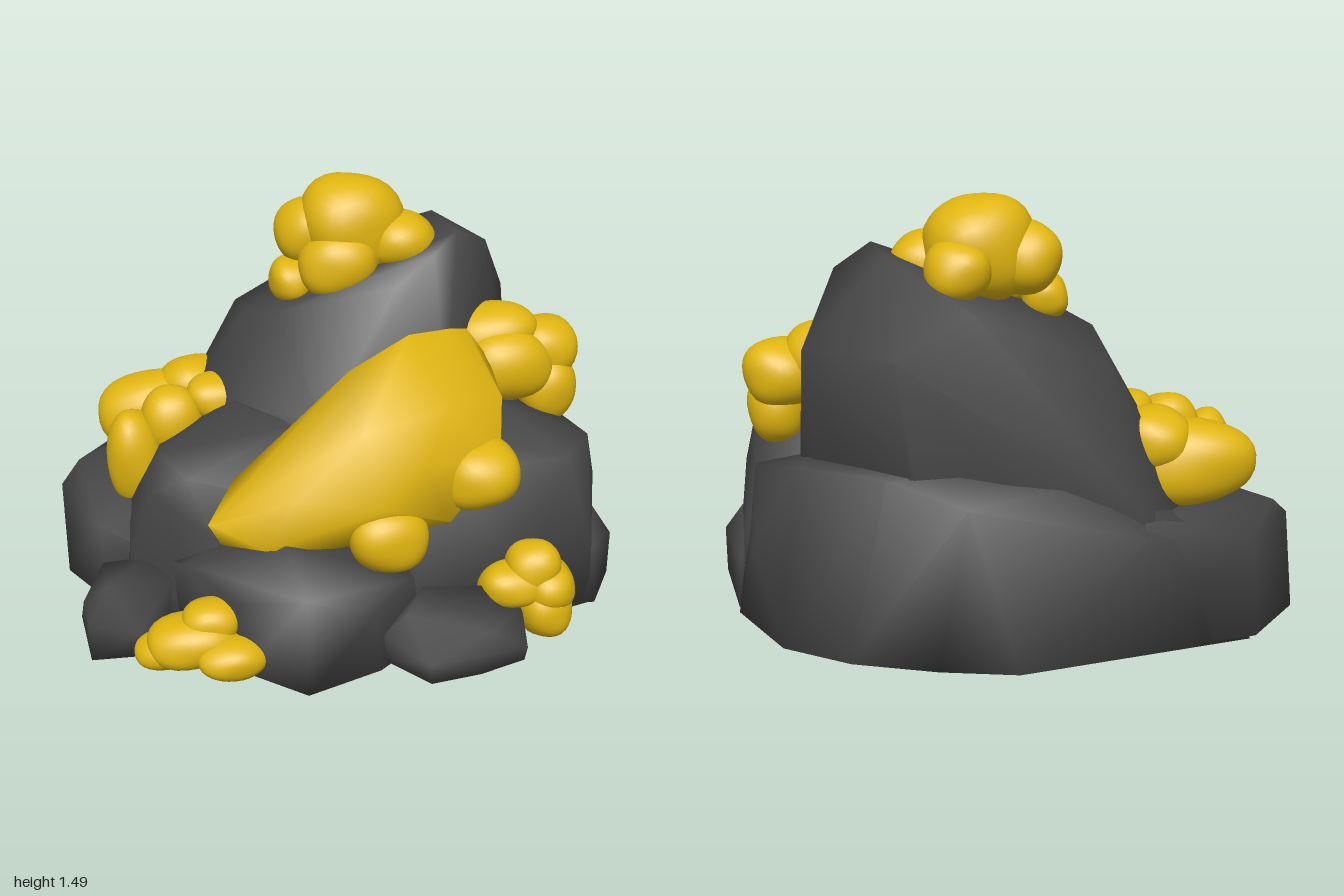
import * as THREE from 'three';
import { mergeVertices, toCreasedNormals } from 'three/addons/utils/BufferGeometryUtils.js';
import { ConvexGeometry } from 'three/addons/geometries/ConvexGeometry.js';

const stone = new THREE.MeshStandardMaterial({ color: 0x454545 });
stone.name = 'dark stone';
const gold = new THREE.MeshStandardMaterial({ color: 0xe0b510 });
gold.name = 'gold';

// Boulder: hull of a few corner points with softly blended edges
function boulder(name, corners, material = stone) {
  const hull = new ConvexGeometry(corners.map((c) => new THREE.Vector3(...c)));
  const mesh = new THREE.Mesh(toCreasedNormals(hull, 1.8), material);
  mesh.name = name;
  return mesh;
}

// Smooth, slightly boxy lump: [x, y, z, radiusX, radiusY, radiusZ]
function lump([x, y, z, rx, ry, rz], seed) {
  let geo = new THREE.IcosahedronGeometry(1, 5);
  geo.deleteAttribute('normal');
  geo.deleteAttribute('uv');
  geo = mergeVertices(geo, 1e-4);
  const pos = geo.attributes.position;
  const v = new THREE.Vector3();
  const power = 2.3;
  for (let i = 0; i < pos.count; i++) {
    v.fromBufferAttribute(pos, i);
    const norm = Math.abs(v.x) ** power + Math.abs(v.y) ** power + Math.abs(v.z) ** power;
    const wobble = 1 + 0.05 * Math.sin(3 * v.x + seed) * Math.cos(3 * v.y + 2 * v.z + seed * 2);
    v.multiplyScalar(wobble * norm ** (-1 / power));
    pos.setXYZ(i, x + v.x * rx, Math.max(0.01, y + v.y * ry), z + v.z * rz);
  }
  geo.computeVertexNormals();
  return new THREE.Mesh(geo, gold);
}

function nugget(name, lumps) {
  const group = new THREE.Group();
  group.name = name;
  lumps.forEach((l, i) => {
    const mesh = lump(l, i * 1.7 + l[0] * 5);
    mesh.name = `${name}Lump${i + 1}`;
    group.add(mesh);
  });
  return group;
}

export function createModel() {
  const model = new THREE.Group();
  model.name = 'goldOreRock';

  // Boulders
  model.add(
    boulder('peak', [
      [0.45, 1.31, -0.08], [0.42, 1.31, -0.32], [0.58, 1.24, -0.16], [0.42, 1.02, -0.59],
      [0.15, 1.15, -0.57], [0.35, 1.26, 0], [0.2, 1.16, 0.04], [-0.2, 1.06, -0.06],
      [-0.3, 1.02, -0.2], [-0.3, 0.96, -0.46], [0.7, 1, -0.32], [0.68, 0.85, -0.33],
      [0.46, 0.97, 0], [0.72, 0.5, -0.22], [0.36, 0.65, -0.59], [-0.2, 0.7, -0.59],
      [-0.42, 0.7, -0.12], [0.35, 0.78, 0.2], [-0.1, 0.75, 0.22], [-0.62, 0.42, -0.4],
      [-0.42, 0.45, -0.63], [-0.6, 0.01, -0.4], [-0.45, 0.01, -0.65], [0.65, 0.01, -0.25],
      [0.3, 0.01, -0.58], [-0.4, 0.01, 0.25], [0.5, 0.01, 0.2],
    ]),
    boulder('rightBoulder', [
      [0.55, 0.75, 0.2], [0.3, 0.7, 0.28], [0.87, 0.62, 0.24], [0.74, 0.62, 0.4],
      [0.3, 0.6, 0.42], [0.91, 0.45, 0.22], [0.93, 0.28, 0.15], [0.87, 0.55, -0.12],
      [0.93, 0.005, 0.2], [0.86, 0.005, 0.4], [0.85, 0.25, 0.41], [0.5, 0.005, 0.49],
      [0.5, 0.3, 0.46], [0.1, 0.005, 0.5], [0.1, 0.5, 0.42], [0.93, 0.005, -0.15],
      [0.92, 0.3, -0.17], [0.6, 0.68, -0.25], [0.2, 0.005, -0.3], [0.2, 0.6, -0.2],
    ]),
    boulder('rightFoot', [
      [1, 0.18, 0.22], [1, 0.01, 0.22], [0.925, 0.3, 0.16], [0.88, 0.01, 0.41],
      [0.865, 0.25, 0.4], [0.7, 0.01, 0.4], [0.7, 0.22, 0.38], [0.95, 0.01, -0.13],
      [0.94, 0.2, -0.13], [0.8, 0.01, -0.2], [0.8, 0.25, -0.15],
    ]),
    boulder('leftBoulder', [
      [-0.66, 0.62, 0.08], [-0.38, 0.76, 0.02], [-0.2, 0.74, 0.2], [-0.58, 0.57, 0.2],
      [-0.7, 0.5, 0.15], [-0.78, 0.25, 0.13], [-0.8, 0.015, 0.13], [-0.5, 0.38, 0.29],
      [-0.5, 0.015, 0.35], [-0.76, 0.35, -0.1], [-0.6, 0.48, -0.4], [-0.7, 0.015, -0.4],
      [0.1, 0.45, 0.44], [0.1, 0.015, 0.44], [-0.3, 0.6, -0.4], [0, 0.015, -0.4],
    ]),
    boulder('backBoulder', [
      [0.04, 0, -0.77], [0.3, 0, -0.71], [0.58, 0, -0.61], [0.8, 0, -0.46], [0.95, 0, -0.15],
      [-0.35, 0, -0.69], [-0.78, 0, -0.62], [0.2, 0.55, -0.7], [0.22, 0.65, -0.58],
      [0.45, 0.62, -0.58], [-0.4, 0.4, -0.66], [0.74, 0.61, -0.36], [0.87, 0.55, -0.13],
      [0.89, 0.3, -0.25], [-0.7, 0.36, -0.58], [-0.4, 0.5, -0.42], [-0.2, 0.58, -0.6],
      [-0.5, 0, 0], [0.5, 0, 0], [0.5, 0.64, 0], [-0.3, 0.55, 0],
    ]),
    boulder('leftLowBoulder', [
      [-1, 0.33, -0.3], [-1, 0.01, -0.2], [-1, 0.01, -0.4], [-0.93, 0.4, -0.35],
      [-0.75, 0.43, -0.2], [-0.78, 0.36, -0.6], [-0.8, 0.01, -0.62], [-0.88, 0.01, 0.02],
      [-0.88, 0.3, 0], [-0.4, 0.01, 0.1], [-0.4, 0.45, -0.1], [-0.4, 0.45, -0.64],
      [-0.35, 0.01, -0.69],
    ]),
    boulder('frontBoulder', [
      [-0.28, 0.44, 0.48], [0.17, 0.26, 0.5], [-0.25, 0.34, 0.7], [-0.25, 0, 0.74],
      [0.02, 0, 0.65], [0, 0.22, 0.64], [0.19, 0, 0.52], [-0.65, 0.25, 0.2], [-0.66, 0, 0.2],
      [-0.6, 0.29, 0.3], [-0.45, 0, 0.56], [-0.45, 0.25, 0.53], [0.1, 0.32, 0.3],
      [-0.3, 0.45, 0.25], [0.1, 0, 0.2],
    ]),
    boulder('leftSmallRock', [
      [-0.97, 0.02, 0.14], [-0.95, 0, 0.39], [-0.95, 0.13, 0.37], [-0.96, 0.12, 0.2],
      [-0.88, 0.21, 0.1], [-0.88, 0.22, 0.28], [-0.72, 0.24, 0.14], [-0.65, 0.21, 0.26],
      [-0.67, 0, 0.3], [-0.78, 0.1, 0.41], [-0.78, 0, 0.4], [-0.68, 0, 0.12], [-0.87, 0, 0.08],
    ]),
    boulder('frontSmallRock', [
      [0.02, 0.02, 0.6], [0.03, 0.12, 0.62], [0.17, 0, 0.76], [0.16, 0.08, 0.77],
      [0.12, 0.18, 0.6], [0.2, 0.22, 0.5], [0.42, 0.21, 0.52], [0.4, 0.14, 0.7],
      [0.53, 0.05, 0.69], [0.52, 0, 0.69], [0.55, 0.12, 0.55], [0.55, 0, 0.5],
      [0.2, 0, 0.45], [0.35, 0, 0.74],
    ]),
  );

  // Large gold vein across the front, with two rounded lobes
  model.add(
    boulder('goldVein', [
      [-0.52, 0.45, 0.32], [-0.48, 0.39, 0.36], [-0.42, 0.57, 0.24], [-0.25, 0.68, 0.21],
      [0, 0.93, 0.2], [0.2, 1.06, 0.23], [0.36, 1.04, 0.16], [0.45, 1, 0.08], [0.52, 0.9, 0.12],
      [0.54, 0.8, 0.24], [0.5, 0.62, 0.38], [0.3, 0.45, 0.47], [-0.1, 0.4, 0.48],
      [-0.35, 0.42, 0.48], [0.05, 0.56, 0.54], [0.2, 0.7, 0.5], [0.3, 0.86, 0.42],
      [0, 0.8, 0.43], [-0.25, 0.58, 0.46], [0.2, 0.6, 0.1], [-0.3, 0.4, 0.2],
    ], gold),
    nugget('goldVeinLobe', [
      [0.08, 0.42, 0.47, 0.14, 0.12, 0.11],
      [0.42, 0.58, 0.37, 0.15, 0.12, 0.14],
    ]),
  );

  // Gold nuggets
  model.add(
    nugget('topNugget', [
      [0.1, 1.31, -0.24, 0.19, 0.18, 0.18],
      [-0.05, 1.28, -0.27, 0.12, 0.12, 0.13],
      [0.03, 1.2, -0.13, 0.14, 0.12, 0.11],
      [-0.13, 1.13, -0.2, 0.08, 0.08, 0.1],
      [0.26, 1.26, -0.17, 0.13, 0.1, 0.13],
      [0.19, 1.26, -0.38, 0.11, 0.1, 0.11],
    ]),
    nugget('rightNugget', [
      [0.59, 0.92, -0.05, 0.17, 0.11, 0.13],
      [0.77, 0.85, -0.04, 0.13, 0.12, 0.13],
      [0.78, 0.72, 0, 0.11, 0.13, 0.13],
      [0.61, 0.83, 0.05, 0.17, 0.13, 0.11],
    ]),
    nugget('leftNugget', [
      [-0.61, 0.57, -0.38, 0.23, 0.15, 0.14],
      [-0.48, 0.66, -0.38, 0.13, 0.11, 0.13],
      [-0.73, 0.5, -0.15, 0.1, 0.18, 0.11],
      [-0.58, 0.62, -0.17, 0.12, 0.13, 0.1],
      [-0.42, 0.7, -0.19, 0.11, 0.08, 0.1],
    ]),
    nugget('frontLeftNugget', [
      [-0.6, 0.1, 0.48, 0.16, 0.09, 0.11],
      [-0.54, 0.16, 0.47, 0.1, 0.08, 0.09],
      [-0.48, 0.07, 0.56, 0.12, 0.07, 0.1],
      [-0.69, 0.06, 0.46, 0.11, 0.06, 0.09],
    ]),
    nugget('frontRightNugget', [
      [0.6, 0.25, 0.5, 0.1, 0.1, 0.09],
      [0.53, 0.2, 0.51, 0.13, 0.08, 0.09],
      [0.64, 0.1, 0.51, 0.1, 0.11, 0.12],
      [0.65, 0.18, 0.5, 0.1, 0.09, 0.12],
    ]),
  );
  return model;
}
